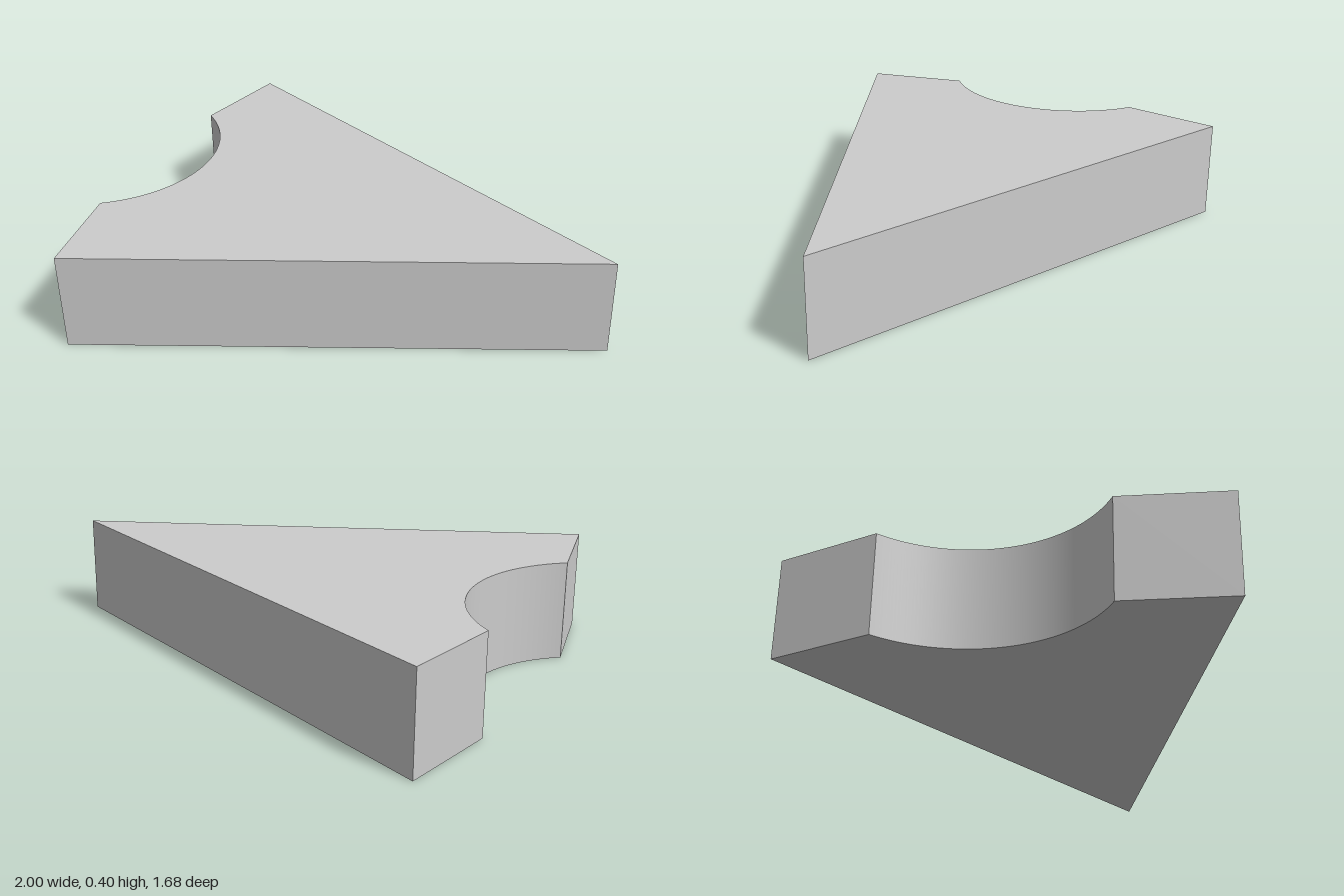
import * as THREE from 'three';
import { toCreasedNormals } from 'three/addons/utils/BufferGeometryUtils.js';

export function createModel() {
  const group = new THREE.Group();
  group.name = 'notchedWedge';

  const height = 0.4;
  const notchHalf = 0.428;  // half the opening of the round notch
  const notchDepth = 0.215;
  const radius = (notchHalf ** 2 + notchDepth ** 2) / (2 * notchDepth);
  const angle = Math.asin(notchHalf / radius);

  // Arrowhead outline with a circular bite out of its back edge
  const outline = new THREE.Shape();
  outline.moveTo(1, 0);
  outline.lineTo(-0.92, 0.838);
  outline.lineTo(-1, notchHalf);
  outline.absarc(-1 + notchDepth - radius, 0, radius, angle, -angle, true);
  outline.lineTo(-0.92, -0.838);
  outline.closePath();

  // Raise the outline to a slab, smooth only along the notch
  const slab = new THREE.ExtrudeGeometry(outline, {
    depth: height, bevelEnabled: false, curveSegments: 40,
  });
  slab.rotateX(-Math.PI / 2);
  const wedge = new THREE.Mesh(
    toCreasedNormals(slab, 0.4),
    new THREE.MeshStandardMaterial({ color: 0xcccccc }),
  );
  wedge.name = 'wedge';
  group.add(wedge);
  return group;
}
